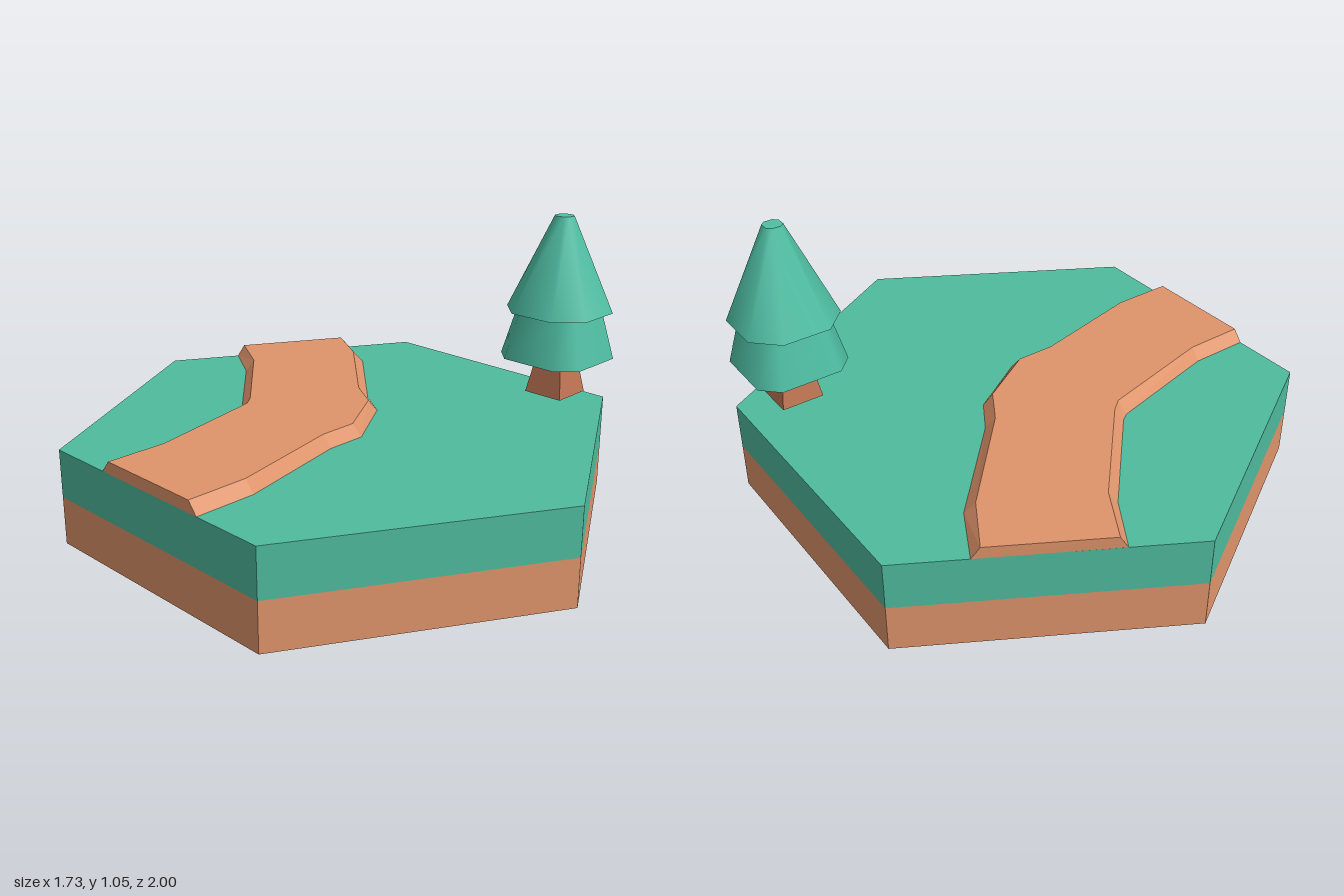
import * as THREE from 'three';

const material = (name, color) => {
  const m = new THREE.MeshStandardMaterial({ color });
  m.name = name;
  return m;
};

function addMesh(parent, name, geometry, mat, x = 0, y = 0, z = 0) {
  const mesh = new THREE.Mesh(geometry, mat);
  mesh.name = name;
  mesh.position.set(x, y, z);
  parent.add(mesh);
  return mesh;
}

// Give every face its own flat normal
function faceted(geometry) {
  const g = geometry.index ? geometry.toNonIndexed() : geometry;
  g.computeVertexNormals();
  return g;
}

// Tapered eight-sided tier: `side` is the half width, `flat` the half length of
// each main side as a fraction of it; the corners are cut between them
function tierGeometry(topSide, bottomSide, height, flat) {
  const g = new THREE.CylinderGeometry(topSide, bottomSide, height, 8, 1, false, Math.PI / 8);
  const p = g.attributes.position;
  for (let i = 0; i < p.count; i++) {
    const x = p.getX(i), z = p.getZ(i);
    if (Math.hypot(x, z) < 1e-5) continue;
    const side = p.getY(i) > 0 ? topSide : bottomSide;
    const xIsMain = Math.abs(x) > Math.abs(z);
    p.setX(i, Math.sign(x) * side * (xIsMain ? 1 : flat));
    p.setZ(i, Math.sign(z) * side * (xIsMain ? flat : 1));
  }
  return g;
}

// Raised slab between two matching outlines, listed counterclockwise from above
function slabGeometry(top, bottom, yTop, yBottom) {
  const pos = [];
  const put = ([x, z], y) => pos.push(x, y, z);
  for (let i = 0; i < top.length; i++) {
    const j = (i + 1) % top.length;
    put(bottom[i], yBottom); put(bottom[j], yBottom); put(top[j], yTop);
    put(bottom[i], yBottom); put(top[j], yTop); put(top[i], yTop);
  }
  const contour = top.map(([x, z]) => new THREE.Vector2(x, -z));
  for (const tri of THREE.ShapeUtils.triangulateShape(contour, [])) {
    for (const k of tri) put(top[k], yTop);
  }
  const g = new THREE.BufferGeometry();
  g.setAttribute('position', new THREE.Float32BufferAttribute(pos, 3));
  return faceted(g);
}

export function createModel() {
  const grass = material('grass green', 0x4fbb9e);
  const earth = material('earth orange', 0xdf946b);
  const leaf = material('leaf green', 0x4fbfa4);
  const bark = material('bark brown', 0xbf7453);

  const model = new THREE.Group();
  model.name = 'hexTile';

  // Hexagonal ground in two layers
  const layer = () => faceted(new THREE.CylinderGeometry(1, 1, 0.173, 6));
  addMesh(model, 'earthLayer', layer(), earth, 0, 0.0865, 0);
  addMesh(model, 'grassLayer', layer(), grass, 0, 0.2595, 0);

  // Curved path with sloping banks, cut off at the tile edges
  const frontTop = [[-0.866, 0.2], [-0.645, 0.2], [-0.22, 0.105], [-0.08, 0.105],
    [0.13, -0.02], [0.205, -0.143], [0.51, -0.47], [0.614, -0.646]];
  const frontFoot = [[-0.866, 0.235], [-0.645, 0.235], [-0.217, 0.138], [-0.07, 0.138],
    [0.16, -0.005], [0.233, -0.122], [0.54, -0.446], [0.64, -0.631]];
  const backTop = [[0.252, -0.855], [0.148, -0.674], [-0.155, -0.345], [-0.2, -0.31],
    [-0.645, -0.21], [-0.866, -0.21]];
  const backFoot = [[0.228, -0.868], [0.12, -0.69], [-0.18, -0.365], [-0.21, -0.345],
    [-0.645, -0.245], [-0.866, -0.245]];
  addMesh(model, 'path',
    slabGeometry([...frontTop, ...backTop], [...frontFoot, ...backFoot], 0.389, 0.346), earth);

  // Tree with a square trunk and two tiers of foliage
  const tree = new THREE.Group();
  tree.name = 'tree';
  tree.position.set(0.69, 0.389, 0.4);
  model.add(tree);
  const r = Math.SQRT2;
  const trunk = new THREE.CylinderGeometry(0.05 * r, 0.077 * r, 0.15, 4, 1, false, Math.PI / 4);
  addMesh(tree, 'trunk', faceted(trunk), bark, 0, 0.075, 0);
  addMesh(tree, 'lowerFoliage', tierGeometry(0.128, 0.171, 0.175, 0.64), leaf, 0, 0.2265, 0);
  addMesh(tree, 'upperFoliage', tierGeometry(0.031, 0.171, 0.344, 0.5), leaf, 0, 0.486, 0);

  return model;
}
